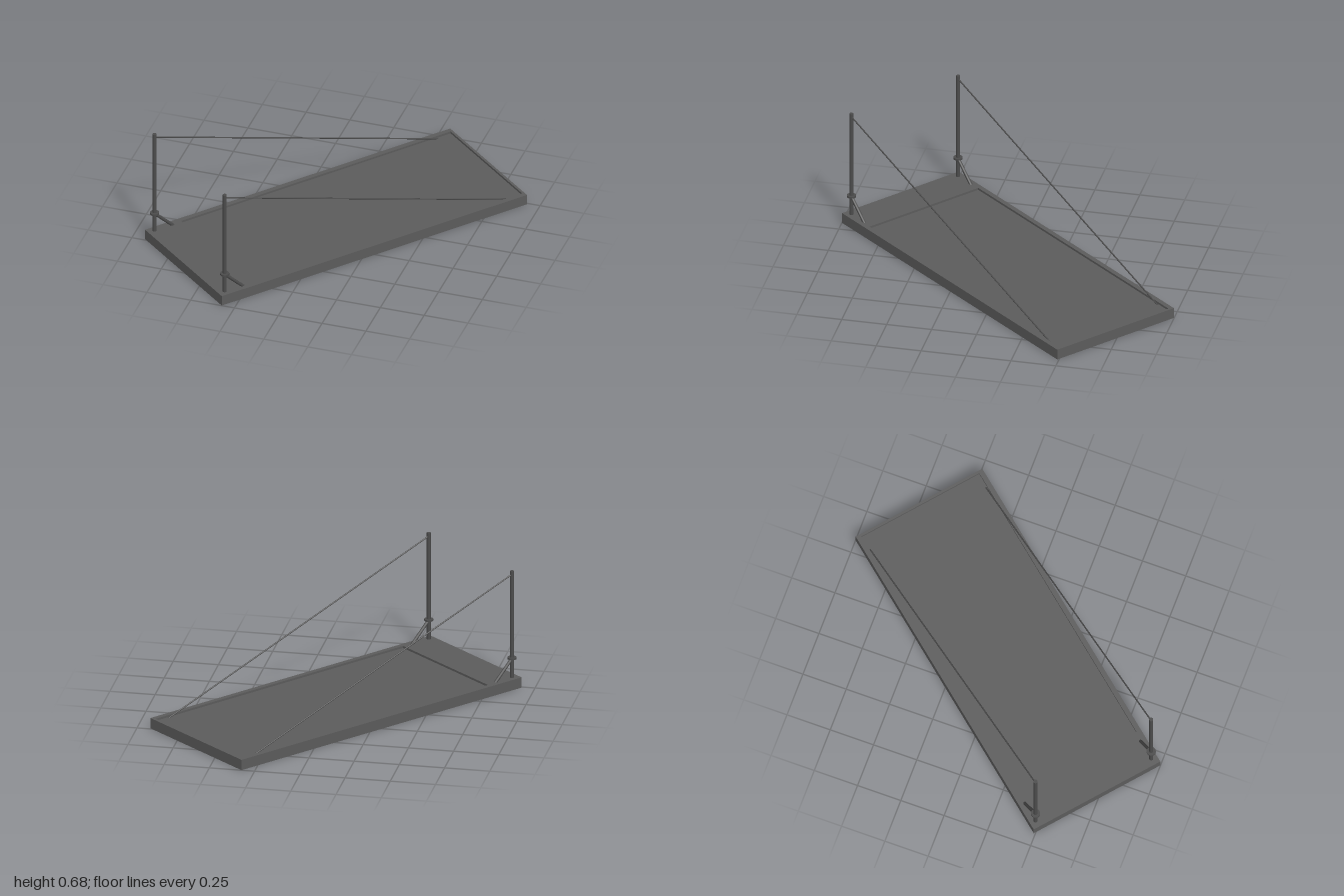
import * as THREE from 'three';

export function createModel() {
  const root = new THREE.Group();
  const bridge = new THREE.Group();
  bridge.name = 'drawbridge';
  bridge.rotation.y = THREE.MathUtils.degToRad(50);
  root.add(bridge);

  const deckMat = new THREE.MeshStandardMaterial({ color: 0x5c5c5c });
  const poleMat = new THREE.MeshStandardMaterial({ color: 0x4c4c4c });
  const L = 1.945, W = 0.79, H = 0.06, recess = 0.012, seam = -0.76;

  function add(name, geometry, material, x, y, z) {
    const mesh = new THREE.Mesh(geometry, material);
    mesh.name = name;
    mesh.position.set(x, y, z);
    bridge.add(mesh);
    return mesh;
  }

  // box given by its x, y and z ranges
  function box(name, x0, x1, y0, y1, z0, z1) {
    return add(name, new THREE.BoxGeometry(x1 - x0, y1 - y0, z1 - z0), deckMat,
      (x0 + x1) / 2, (y0 + y1) / 2, (z0 + z1) / 2);
  }

  // round bar between two points
  function bar(name, a, b, r, sides) {
    const dir = b.clone().sub(a);
    const mid = a.clone().add(b).multiplyScalar(0.5);
    const mesh = add(name, new THREE.CylinderGeometry(r, r, dir.length(), sides), poleMat, mid.x, mid.y, mid.z);
    mesh.quaternion.setFromUnitVectors(new THREE.Vector3(0, 1, 0), dir.normalize());
    return mesh;
  }

  // raised threshold, sunken deck and the lip at the far end
  const rail = 0.027, lip = 0.014;
  box('threshold', -L / 2, seam, 0, H, -W / 2, W / 2);
  box('deck', seam, L / 2 - lip, 0, H - recess, -W / 2 + rail, W / 2 - rail);
  box('endLip', L / 2 - lip, L / 2, 0, H, -W / 2, W / 2);

  for (const s of [-1, 1]) {
    const side = s > 0 ? 'left' : 'right';
    const z = s * 0.361, px = -0.933;
    const edge = s * W / 2, inner = s * (W / 2 - rail);
    box(side + 'Rail', seam, L / 2 - lip, 0, H, Math.min(edge, inner), Math.max(edge, inner));

    // post with collar, diagonal brace and stay rope
    add(side + 'Post', new THREE.CylinderGeometry(0.011, 0.011, 0.63, 16), poleMat, px, 0.365, z);
    add(side + 'Collar', new THREE.CylinderGeometry(0.025, 0.025, 0.01, 20), poleMat, px, 0.173, z);
    bar(side + 'Brace', new THREE.Vector3(px, 0.17, z), new THREE.Vector3(-0.815, 0.055, z), 0.009, 12);
    bar(side + 'Rope', new THREE.Vector3(px, 0.66, z), new THREE.Vector3(0.875, 0.045, z), 0.004, 8);
  }
  return root;
}
